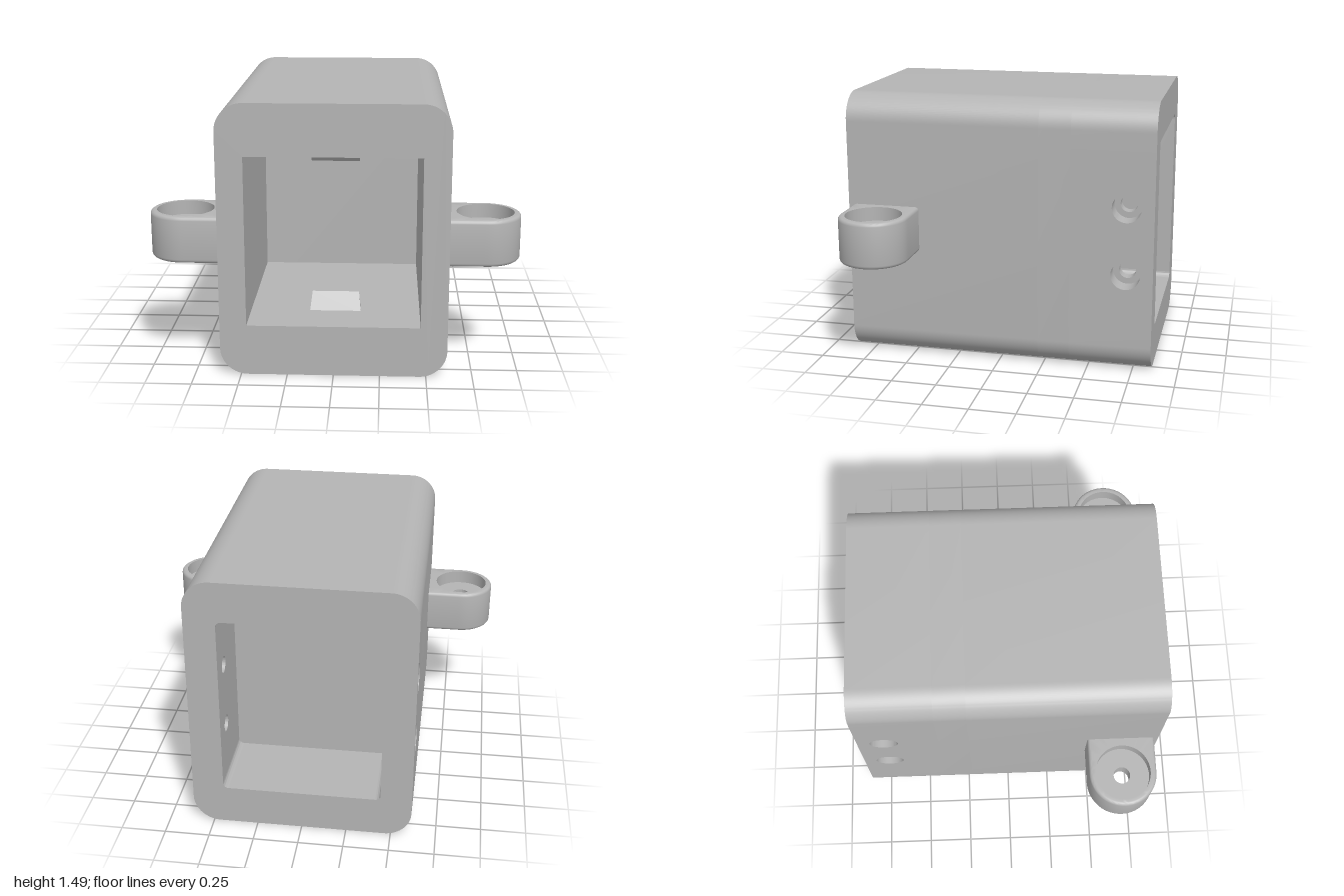
import * as THREE from 'three';
import { toCreasedNormals } from 'three/addons/utils/BufferGeometryUtils.js';
import { ConvexGeometry } from 'three/addons/geometries/ConvexGeometry.js';

// Half width, half height, half length and corner radius of the housing
const W = 0.613, H = 0.745, L = 0.855, R = 0.15;
const FRONT_FLOOR = -0.225, BACK_FLOOR = -0.4;
const POCKET_W = 0.44, POCKET_H = 0.52, POCKET_R = 0.03;

const smooth = (geo) => toCreasedNormals(geo, 0.6);

function roundedRect(w, h, r) {
  const s = new THREE.Shape();
  s.moveTo(w, -h + r);
  s.lineTo(w, h - r);
  s.absarc(w - r, h - r, r, 0, Math.PI / 2);
  s.absarc(-w + r, h - r, r, Math.PI / 2, Math.PI);
  s.absarc(-w + r, -h + r, r, Math.PI, Math.PI * 1.5);
  s.absarc(w - r, -h + r, r, Math.PI * 1.5, Math.PI * 2);
  return s;
}

function rectangle(x0, y0, x1, y1) {
  return new THREE.Shape([[x0, y0], [x1, y0], [x1, y1], [x0, y1]].map((p) => new THREE.Vector2(...p)));
}

// Extrude a cross-section along z between two positions
function extrudeZ(shape, z0, z1) {
  const geo = new THREE.ExtrudeGeometry(shape, { depth: z1 - z0, bevelEnabled: false, curveSegments: 12 });
  return smooth(geo.translate(0, 0, z0));
}

// Roof strip above the back pocket, with the pocket's rounded corners
function pocketCap() {
  const y = POCKET_H - POCKET_R, x = POCKET_W - POCKET_R;
  const s = new THREE.Shape();
  s.moveTo(W, y);
  s.lineTo(W, H - R);
  s.absarc(W - R, H - R, R, 0, Math.PI / 2);
  s.absarc(-W + R, H - R, R, Math.PI / 2, Math.PI);
  s.lineTo(-W, y);
  s.lineTo(-POCKET_W, y);
  s.absarc(-x, y, POCKET_R, Math.PI, Math.PI / 2, true);
  s.absarc(x, y, POCKET_R, Math.PI / 2, 0, true);
  return extrudeZ(s, -L, BACK_FLOOR);
}

// One layer of the back side wall, pierced by two screw holes
function wallLayer(x0, x1, holeRadius) {
  const y = POCKET_H - POCKET_R;
  const s = rectangle(-BACK_FLOOR, -y, L, y);
  for (const hy of [-0.187, 0.187]) {
    s.holes.push(new THREE.Path().absarc(0.705, hy, holeRadius, 0, Math.PI * 2, true));
  }
  const geo = new THREE.ExtrudeGeometry(s, { depth: x1 - x0, bevelEnabled: false, curveSegments: 24 });
  return smooth(geo.rotateY(Math.PI / 2).translate(x0, 0, 0));
}

// Mounting ear: D-shaped outline with counterbores above and below a thin web
function mountingEar() {
  const N = 72, half = 0.1275, web = 0.05, f = 0.02, w = 0.19, reach = 0.26;
  const circle = (r) => (c, s) => [r * c, r * s];
  const outline = (r) => (c, s) => {
    if (c >= 0) return [r * c, r * s];
    const t = Math.min(r / Math.max(Math.abs(s), 1e-6), reach / -c);
    return [t * c, t * s];
  };
  const rings = [];
  for (const side of [-1, 1]) {
    for (let k = 0; k <= 4; k++) {
      const a = (side < 0 ? 4 - k : k) * Math.PI / 8;
      rings.push([outline(w - f + f * Math.cos(a)), side * (half - f + f * Math.sin(a))]);
    }
  }
  rings.push([circle(0.155), half], [circle(0.155), web], [circle(0.047), web],
    [circle(0.047), -web], [circle(0.155), -web], [circle(0.155), -half]);

  const pos = [], index = [];
  rings.forEach(([at, y], j) => {
    const next = (j + 1) % rings.length;
    for (let i = 0; i < N; i++) {
      const t = i / N * Math.PI * 2;
      const [x, z] = at(Math.cos(t), Math.sin(t));
      pos.push(x, y, z);
      const a = j * N + i, b = j * N + (i + 1) % N;
      const c = next * N + i, d = next * N + (i + 1) % N;
      index.push(a, c, b, b, c, d);
    }
  });
  const geo = new THREE.BufferGeometry();
  geo.setAttribute('position', new THREE.Float32BufferAttribute(pos, 3));
  geo.setIndex(index);
  return smooth(geo);
}

// Catch: round-backed bump with a sloping front face
function catchBump() {
  const r = 0.142, zc = 0.597, points = [];
  for (const [y, zFront] of [[-0.47, 0.612], [-0.375, 0.54]]) {
    const a = Math.asin((zFront - zc) / r);
    for (let i = 0; i <= 20; i++) {
      const t = a - (Math.PI + 2 * a) * i / 20;
      points.push(new THREE.Vector3(r * Math.cos(t), y, zc + r * Math.sin(t)));
    }
  }
  return smooth(new ConvexGeometry(points));
}

export function createModel() {
  const grey = new THREE.MeshStandardMaterial({ color: 0xb4b4b4 });
  grey.name = 'plain grey';
  const model = new THREE.Group();
  model.name = 'housing';
  model.position.y = H;
  const add = (name, geo) => {
    const mesh = new THREE.Mesh(geo, grey);
    mesh.name = name;
    model.add(mesh);
    return mesh;
  };

  // Front compartment and the partition behind it
  const tube = roundedRect(W, H, R);
  tube.holes.push(rectangle(-0.468, -0.465, 0.468, 0.465));
  add('frontCompartment', extrudeZ(tube, FRONT_FLOOR, L));
  add('partition', extrudeZ(roundedRect(W, H, R), BACK_FLOOR, FRONT_FLOOR));

  // Back pocket roof and floor
  const cap = pocketCap();
  add('backPocketRoof', cap);
  add('backPocketFloor', cap).rotation.z = Math.PI;

  // Side walls with counterbored holes, and ears, mirrored left and right
  const outer = wallLayer(W - 0.11, W, 0.08);
  const inner = wallLayer(POCKET_W, W - 0.11, 0.047);
  const ear = mountingEar().translate(0.81, 0, 0.64);
  for (const [side, sx] of [['left', 1], ['right', -1]]) {
    add(side + 'OuterWall', outer).scale.x = sx;
    add(side + 'InnerWall', inner).scale.x = sx;
    add(side + 'MountingEar', ear).scale.x = sx;
  }

  // Catches on the floor and ceiling of the front compartment
  const bump = catchBump();
  add('floorCatch', bump);
  add('ceilingCatch', bump).scale.y = -1;

  const root = new THREE.Group();
  root.name = 'mountedHousing';
  root.add(model);
  return root;
}
